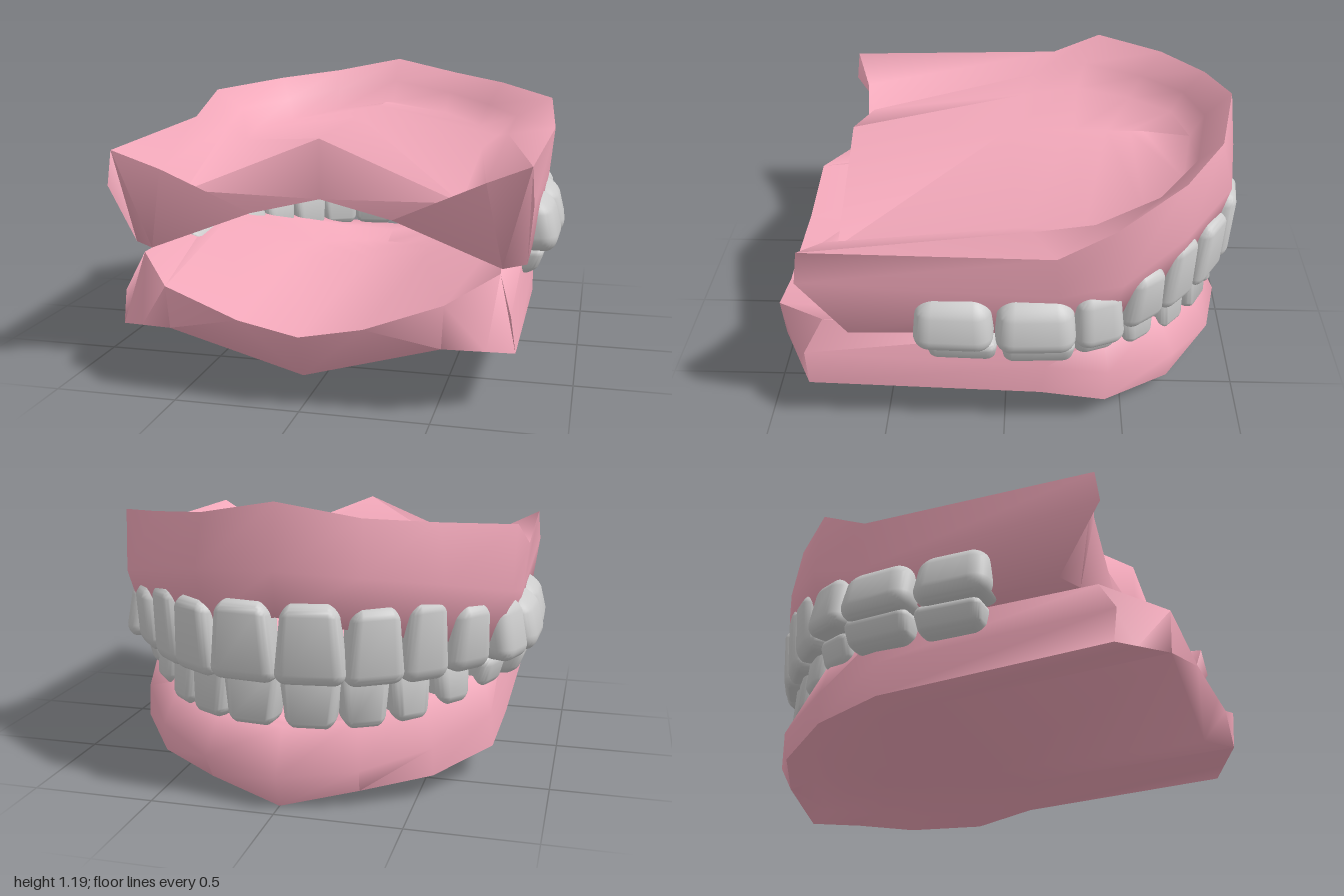
import * as THREE from 'three';
import { toCreasedNormals } from 'three/addons/utils/BufferGeometryUtils.js';
import { RoundedBoxGeometry } from 'three/addons/geometries/RoundedBoxGeometry.js';

const pink = new THREE.MeshStandardMaterial({ color: 0xf2a8ba, side: THREE.DoubleSide });
const grey = new THREE.MeshStandardMaterial({ color: 0xcccccc });

// Point between a and b, optionally lifted
const between = (a, b, t, lift = 0) => a.map((v, i) => v + (b[i] - v) * t + (i === 1 ? lift : 0));
const mirror = (p) => [-p[0], p[1], p[2]];

// Skin nine-point half sections around the arch, then close the open end
function loftArch(sections) {
  const n = sections[0].length;
  const loops = [...sections, ...sections.slice(0, -1).reverse().map((s) => s.map(mirror))];
  const pos = [];
  const tri = (a, b, c) => pos.push(...a, ...b, ...c);
  for (let j = 0; j < loops.length - 1; j++) {
    const s = loops[j], t = loops[j + 1];
    for (let i = 0; i < n - 1; i++) {
      tri(s[i], s[i + 1], t[i]);
      tri(s[i + 1], t[i + 1], t[i]);
    }
  }
  const end = sections[0];
  for (let i = 0; i < (n - 1) / 2; i++) {
    const a = end[i], b = end[n - 1 - i], c = end[i + 1], d = end[n - 2 - i];
    const faces = i < (n - 3) / 2 ? [[a, b, c], [b, d, c]] : [[a, b, c]];
    for (const [p, q, r] of faces) {
      tri(p, q, r);
      tri(mirror(p), mirror(r), mirror(q));
    }
  }
  const g = new THREE.BufferGeometry();
  g.setAttribute('position', new THREE.Float32BufferAttribute(pos, 3));
  return toCreasedNormals(g, 1.45);
}

// Upper sections, open end to apex:
// palate middle, valley, rim, outer wall, outer crest, inner crest, underside middle
const upperSections = [
  [[0, 1, 0.68], [0.56, 0.77, 0.68], [0.83, 0.94, 0.78], [0.84, 0.8, 0.8], [0.81, 0.53, 0.62], [0.72, 0.52, 0.67], [0, 0.76, 0.68]],
  [[0, 1, 0], [0.55, 0.87, -0.05], [0.86, 0.95, -0.2], [0.84, 0.75, -0.21], [0.81, 0.55, -0.2], [0.7, 0.54, -0.18], [0, 0.8, 0]],
  [[0, 1, -0.28], [0.59, 0.89, -0.31], [0.83, 1.06, -0.42], [0.82, 0.8, -0.46], [0.77, 0.58, -0.42], [0.67, 0.57, -0.36], [0, 0.82, -0.28]],
  [[0, 1, -0.42], [0.48, 0.9, -0.56], [0.57, 1.1, -0.7], [0.595, 0.87, -0.725], [0.54, 0.64, -0.69], [0.47, 0.63, -0.61], [0, 0.82, -0.4]],
  [[0, 1, -0.52], [0.28, 0.94, -0.73], [0.31, 1.13, -0.87], [0.32, 0.92, -0.925], [0.3, 0.71, -0.88], [0.26, 0.7, -0.78], [0, 0.82, -0.47]],
  [[0, 1, -0.58], [0, 0.98, -0.78], [0, 1.19, -0.94], [0, 0.94, -0.975], [0, 0.76, -0.94], [0, 0.76, -0.84], [0, 0.84, -0.52]],
].map(([mid, valley, rim, wall, crest, inner, under]) => [
  mid, valley, between(valley, rim, 0.35, 0.03), rim, wall, crest, inner, between(inner, under, 0.6, 0.025), under,
]);

// Lower sections, open end to apex:
// floor middle, inner crest, outer crest, outer wall, rim, bottom valley, bottom middle
const lowerSections = [
  [[0, 0.3, 1], [0.54, 0.45, 0.96], [0.72, 0.52, 0.74], [0.77, 0.38, 0.82], [0.79, 0.235, 0.81], [0.53, 0.28, 0.95], [0, 0.125, 0.93]],
  [[0, 0.29, 0], [0.66, 0.49, -0.1], [0.76, 0.5, -0.15], [0.785, 0.34, -0.17], [0.785, 0.2, -0.15], [0.52, 0.25, -0.05], [0, 0.125, 0]],
  [[0, 0.28, -0.25], [0.62, 0.45, -0.34], [0.71, 0.45, -0.4], [0.75, 0.28, -0.43], [0.76, 0.14, -0.42], [0.5, 0.24, -0.28], [0, 0.125, -0.25]],
  [[0, 0.28, -0.4], [0.43, 0.38, -0.58], [0.51, 0.39, -0.65], [0.56, 0.22, -0.72], [0.56, 0.1, -0.7], [0.38, 0.2, -0.48], [0, 0.125, -0.4]],
  [[0, 0.28, -0.5], [0.24, 0.32, -0.73], [0.28, 0.34, -0.8], [0.31, 0.17, -0.9], [0.3, 0.07, -0.85], [0.22, 0.16, -0.62], [0, 0.125, -0.5]],
  [[0, 0.28, -0.56], [0, 0.295, -0.79], [0, 0.31, -0.87], [0, 0.14, -0.97], [0, 0.005, -0.92], [0, 0.14, -0.72], [0, 0.125, -0.56]],
].map(([mid, inner, crest, wall, rim, valley, under]) => [
  mid, between(mid, inner, 0.45, -0.025), inner, crest, wall, rim, between(rim, valley, 0.4), valley, under,
]);

// Rounded crown: neck up, narrowed neck, swollen belly, thin biting edge on front teeth
function crown(w, h, d, molar) {
  const g = new RoundedBoxGeometry(w, h, d, 4, Math.min(w, h, d) * 0.3);
  const p = g.attributes.position;
  for (let i = 0; i < p.count; i++) {
    const t = p.getY(i) / h + 0.5; // 0 at the biting edge, 1 at the neck
    const u = p.getX(i) / w * 2;
    const belly = 1 - 0.5 * (t - 0.45) ** 2;
    const z = p.getZ(i);
    p.setX(i, p.getX(i) * (1 - (molar ? 0.12 : 0.24) * t * t));
    if (molar) {
      p.setZ(i, z * (belly - 0.15 * (1 - t) ** 2) - 0.28 * d * (t - 0.25)); // leans in at the neck
      if (t < 0.3) p.setY(i, p.getY(i) + 0.02 * (1 - Math.abs(u)) * (1 - Math.abs(z) * 2 / d));
    } else {
      p.setZ(i, z * belly * (0.6 + 0.4 * Math.min(1, t * 1.8)) + d * 0.06 * (1 - t) - d * 0.06 * u * u);
    }
    if (t > 0.6) p.setY(i, p.getY(i) - 0.2 * h * u * u * (t - 0.6)); // arched neck
  }
  g.computeVertexNormals();
  return toCreasedNormals(g, 1.1);
}

// name, outer x, outer z, turn from the midline, width, bottom, top, depth
const upperTeeth = [
  ['centralIncisor', 0.137, -0.995, 0.12, 0.27, 0.51, 0.83, 0.15],
  ['lateralIncisor', 0.385, -0.895, 0.55, 0.235, 0.5, 0.81, 0.15],
  ['canine', 0.56, -0.752, 0.72, 0.205, 0.49, 0.82, 0.17],
  ['firstPremolar', 0.715, -0.597, 0.88, 0.205, 0.5, 0.78, 0.18],
  ['secondPremolar', 0.865, -0.4, 1.2, 0.205, 0.5, 0.76, 0.2],
  ['firstMolar', 0.93, -0.13, 1.52, 0.32, 0.5, 0.74, 0.25],
  ['secondMolar', 0.925, 0.2, 1.6, 0.32, 0.5, 0.74, 0.25],
];
const lowerTeeth = [
  ['centralIncisor', 0.12, -0.925, 0.1, 0.24, 0.31, 0.56, 0.13],
  ['lateralIncisor', 0.33, -0.85, 0.5, 0.205, 0.31, 0.56, 0.13],
  ['canine', 0.49, -0.725, 0.72, 0.19, 0.31, 0.55, 0.15],
  ['firstPremolar', 0.635, -0.572, 0.88, 0.19, 0.34, 0.55, 0.17],
  ['secondPremolar', 0.775, -0.39, 1.2, 0.185, 0.37, 0.53, 0.18],
  ['firstMolar', 0.875, -0.14, 1.52, 0.295, 0.39, 0.53, 0.21],
  ['secondMolar', 0.865, 0.17, 1.6, 0.285, 0.39, 0.52, 0.21],
];

function toothRow(list, jaw) {
  const row = new THREE.Group();
  row.name = jaw + 'Teeth';
  for (const [name, x, z, turn, w, y0, y1, d] of list) {
    const geo = crown(w, y1 - y0, d, name.endsWith('Molar') || name === 'secondPremolar');
    for (const side of [1, -1]) {
      const tooth = new THREE.Mesh(geo, grey);
      tooth.name = jaw + (side > 0 ? 'Left' : 'Right') + name[0].toUpperCase() + name.slice(1);
      // Step in from the outer face to the middle of the tooth
      tooth.position.set(side * (x - Math.sin(turn) * d / 2), (y0 + y1) / 2, z + Math.cos(turn) * d / 2);
      // Lower teeth are turned over so that the neck points down
      tooth.rotation.set(0, Math.PI - side * turn, jaw === 'lower' ? Math.PI : 0);
      row.add(tooth);
    }
  }
  return row;
}

export function createModel() {
  const model = new THREE.Group();
  model.name = 'dentures';
  for (const [jaw, sections, teeth] of [
    ['upper', upperSections, upperTeeth],
    ['lower', lowerSections, lowerTeeth],
  ]) {
    const gum = new THREE.Mesh(loftArch(sections), pink);
    gum.name = jaw + 'Gum';
    model.add(gum, toothRow(teeth, jaw));
  }
  return model;
}
